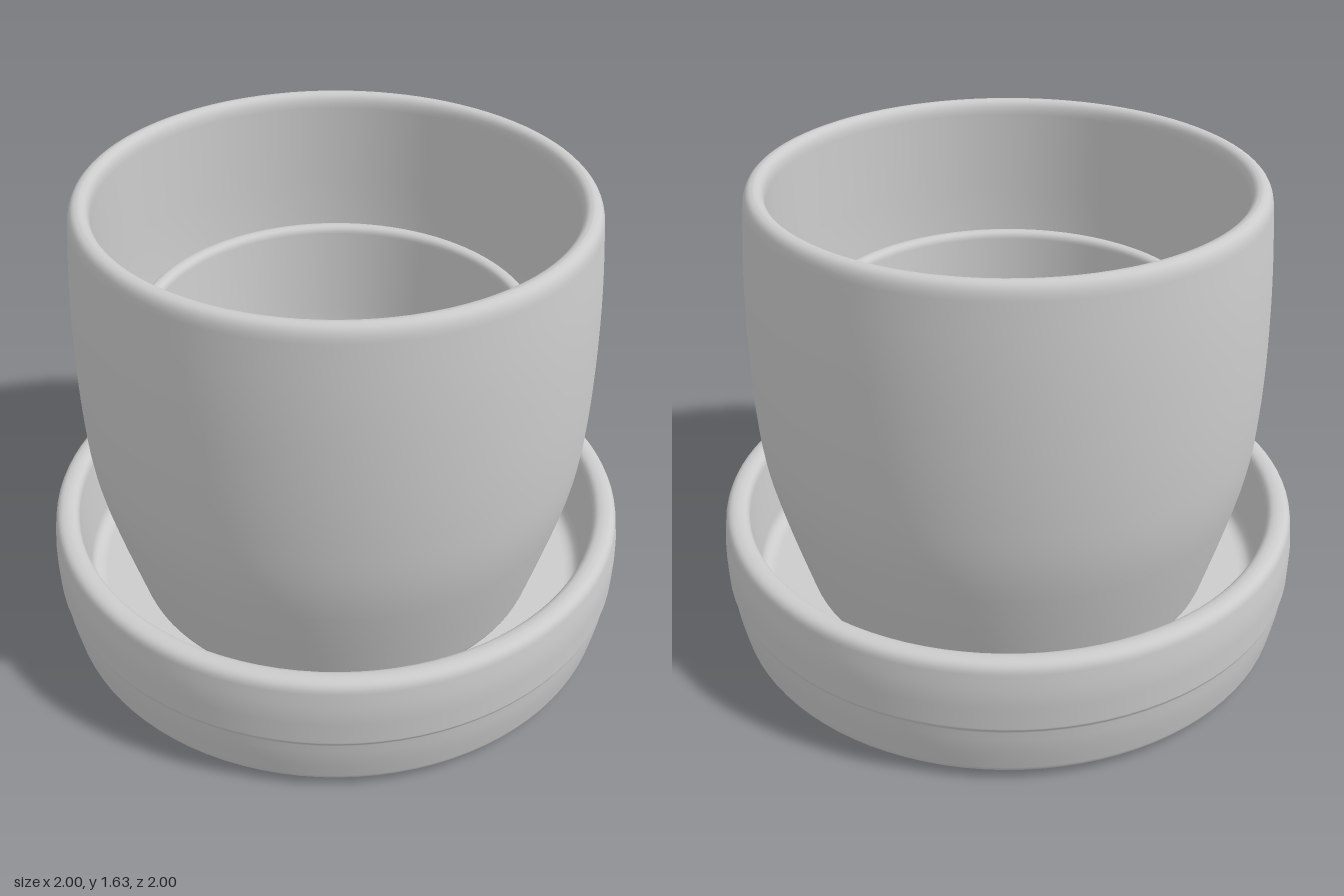
import * as THREE from 'three';

const material = new THREE.MeshStandardMaterial({ color: 0xcccccc });

// Turns corner points [radius, height, rounding] into a softly rounded profile.
function softProfile(corners) {
  const pts = corners.map(([x, y]) => new THREE.Vector2(x, y));
  const out = [pts[0]];
  for (let i = 1; i < pts.length - 1; i++) {
    const p = pts[i], a = pts[i - 1], b = pts[i + 1];
    const round = corners[i][2] ?? 0.03;
    const toward = (q) => {
      const d = q.clone().sub(p);
      return p.clone().addScaledVector(d.normalize(), Math.min(round, p.distanceTo(q) * 0.48));
    };
    out.push(...new THREE.QuadraticBezierCurve(toward(a), p, toward(b)).getPoints(6));
  }
  out.push(pts[pts.length - 1]);
  return out;
}

function turned(name, corners, segments = 96) {
  const mesh = new THREE.Mesh(new THREE.LatheGeometry(softProfile(corners), segments), material);
  mesh.name = name;
  return mesh;
}

// Pushes a round vessel out into a square with softened corners.
function squareOff(mesh, power = 9) {
  const pos = mesh.geometry.attributes.position;
  for (let i = 0; i < pos.count; i++) {
    const x = pos.getX(i), z = pos.getZ(i), r = Math.hypot(x, z);
    if (r < 1e-6) continue;
    const k = Math.pow(Math.abs(x / r) ** power + Math.abs(z / r) ** power, -1 / power);
    pos.setXYZ(i, x * k, pos.getY(i), z * k);
  }
  mesh.geometry.computeVertexNormals();
  return mesh;
}

export function createModel() {
  const model = new THREE.Group();
  model.name = 'planterWithSaucer';

  // Saucer: recessed disc underneath, shallow seam around the side
  model.add(turned('saucer', [
    [0, 0.035], [0.5, 0.035, 0.006], [0.515, 0.025, 0.006],
    [0.96, 0.025, 0.03], [0.985, 0.15, 0.05], [0.992, 0.225, 0.005],
    [0.998, 0.235, 0.005], [1, 0.36, 0.04], [0.985, 0.475, 0.035],
    [0.91, 0.475, 0.035], [0.885, 0.17, 0.05], [0, 0.17],
  ]));

  // Three small feet
  for (const [x, z] of [[-0.83, 0], [0.26, 0.79], [0.5, -0.72]]) {
    const foot = new THREE.Mesh(new THREE.SphereGeometry(1, 20, 12), material);
    foot.name = 'foot';
    foot.scale.set(0.06, 0.025, 0.06);
    foot.position.set(x, 0.025, z);
    model.add(foot);
  }

  // Main pot with a rounded lip
  model.add(turned('pot', [
    [0, 0.17], [0.7, 0.17, 0.05], [0.785, 0.47, 0.12], [0.84, 0.7, 0.12],
    [0.857, 1, 0.2], [0.85, 1.35, 0.15], [0.825, 1.63, 0.05],
    [0.76, 1.63, 0.05], [0.755, 1.1, 0.2], [0.7, 0.5, 0.15],
    [0.64, 0.27, 0.08], [0, 0.27],
  ]));

  // Round liner nested in the pot
  model.add(turned('liner', [
    [0, 0.29], [0.52, 0.29, 0.06], [0.63, 0.7, 0.15], [0.665, 1.18, 0.025],
    [0.615, 1.18, 0.025], [0.58, 0.7, 0.15], [0.47, 0.36, 0.08], [0, 0.36],
  ]));

  // Square pot nested in the liner
  model.add(squareOff(turned('squarePot', [
    [0, 0.36], [0.32, 0.36, 0.03], [0.47, 0.86, 0.03],
    [0.38, 0.86, 0.03], [0.36, 0.74, 0.04], [0.21, 0.45, 0.05], [0, 0.45],
  ])));

  // Small round cup sunk into the square pot
  model.add(turned('innerCup', [
    [0.25, 0.46], [0.28, 0.54, 0.01], [0.255, 0.54, 0.01], [0.22, 0.47, 0.01], [0, 0.47],
  ], 64));

  return model;
}
